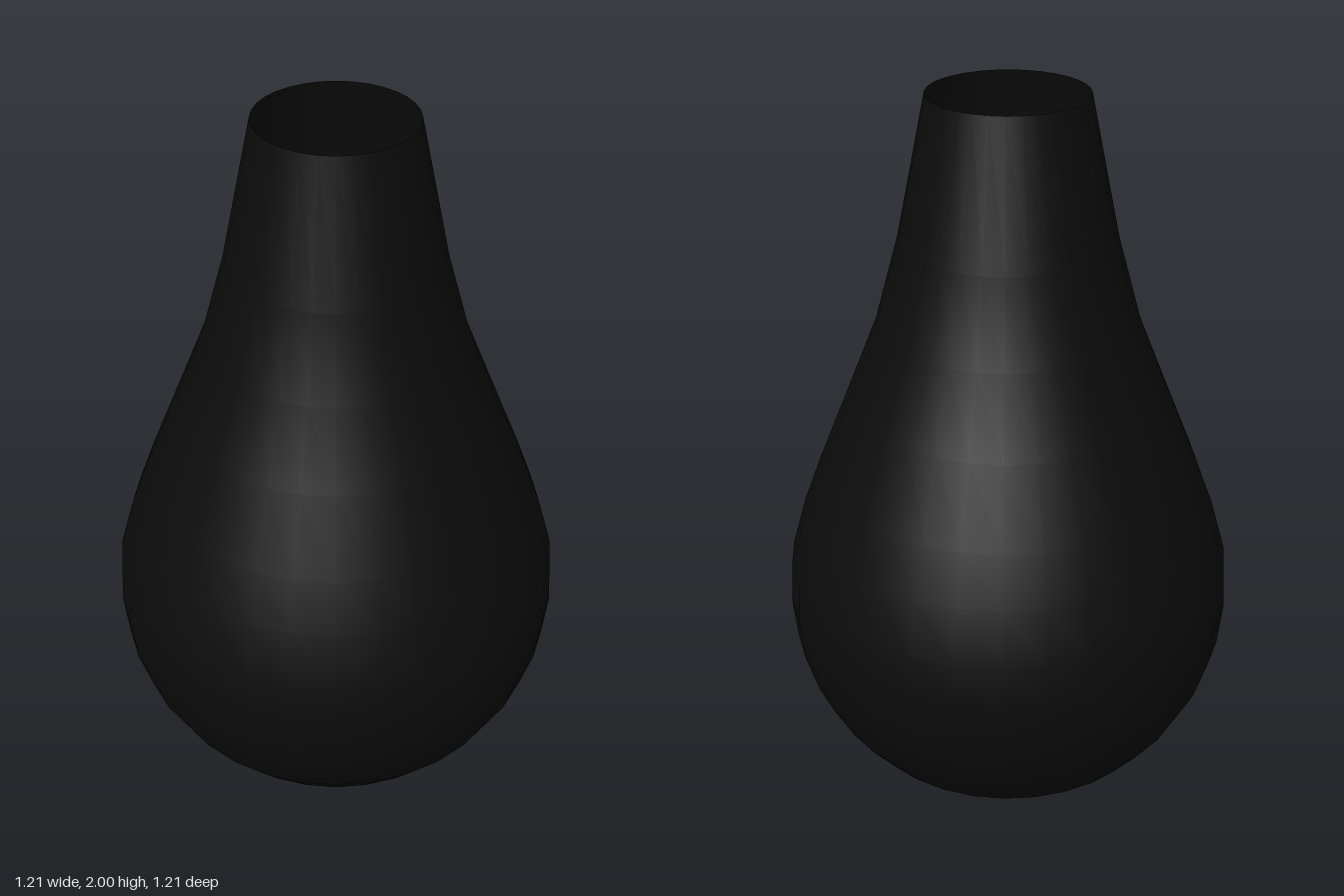
import * as THREE from 'three';

const SEGMENTS = 32;
const RADIUS = 0.605;

export function createModel() {
  const group = new THREE.Group();
  group.name = 'bulbVase';

  // Round base: a quarter circle from the bottom pole to the widest ring
  const profile = [];
  for (let i = 0; i <= 8; i++) {
    const a = (i / 8) * Math.PI / 2;
    profile.push(new THREE.Vector2(RADIUS * Math.sin(a), RADIUS * (1 - Math.cos(a))));
  }

  // Shoulder tapering into the open neck
  const upper = [
    [0.598, 0.72], [0.557, 0.863], [0.508, 0.995], [0.425, 1.2],
    [0.343, 1.405], [0.281, 1.63], [0.205, 2],
  ];
  profile.push(...upper.map(([r, y]) => new THREE.Vector2(r, y)));

  // Thin shell, open at the top
  const body = new THREE.Mesh(
    new THREE.LatheGeometry(profile, SEGMENTS),
    new THREE.MeshStandardMaterial({ color: 0x0c0c0c, side: THREE.DoubleSide }),
  );
  body.name = 'body';
  group.add(body);

  return group;
}
